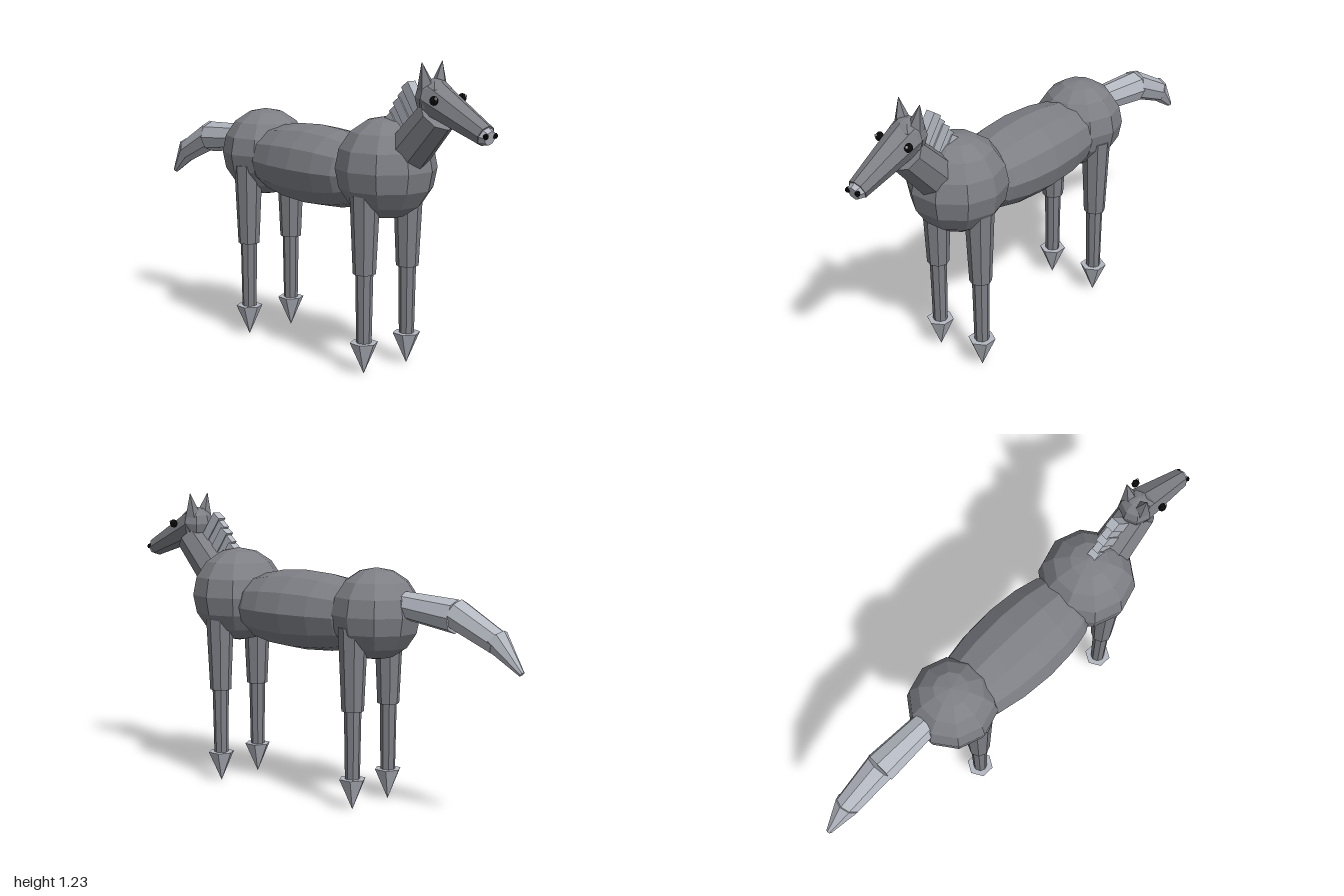
import * as THREE from 'three';

const paint = (name, color) => {
  const m = new THREE.MeshStandardMaterial({ color, flatShading: true });
  m.name = name;
  return m;
};

export function createModel() {
  const coat = paint('grey coat', 0x7d7f85);
  const hair = paint('pale grey hair', 0xb4b8c1);
  const black = paint('black', 0x0c0c0c);
  const white = paint('white', 0xf4f4f4);
  const group = new THREE.Group();
  group.name = 'horse';

  const add = (name, geometry, material, x = 0, y = 0, z = 0) => {
    const mesh = new THREE.Mesh(geometry, material);
    mesh.name = name;
    mesh.position.set(x, y, z);
    group.add(mesh);
    return mesh;
  };
  const ball = (name, r, material, x, y, z, w = 10, h = 8) =>
    add(name, new THREE.SphereGeometry(r, w, h), material, x, y, z);

  // Tapered tube from point a (radius ra) to point b (radius rb)
  const UP = new THREE.Vector3(0, 1, 0);
  const limb = (name, a, ra, b, rb, material, sides = 8, widen = 1) => {
    const from = new THREE.Vector3(...a);
    const dir = new THREE.Vector3(...b).sub(from);
    const length = dir.length();
    const geometry = new THREE.CylinderGeometry(rb, ra, length, sides);
    geometry.scale(widen, 1, 1);
    const mesh = add(name, geometry, material);
    mesh.quaternion.setFromUnitVectors(UP, dir.clone().normalize());
    mesh.position.copy(from).addScaledVector(dir, 0.5);
    return mesh;
  };

  // Body: chest, barrel and rump
  ball('chest', 0.2, coat, 0, 0.808, 0.448);
  ball('rump', 0.184, coat, 0, 0.785, -0.307);
  const profile = [[0, -0.3], [0.1, -0.28], [0.138, -0.2], [0.158, -0.08], [0.166, 0.06],
    [0.158, 0.19], [0.138, 0.29], [0.1, 0.36], [0, 0.38]];
  const barrel = new THREE.LatheGeometry(profile.map(([r, y]) => new THREE.Vector2(r, y)), 12);
  barrel.rotateX(Math.PI / 2);
  barrel.scale(1.12, 1, 1);
  add('barrel', barrel, coat, 0, 0.77, 0);

  // Legs with pointed hooves
  for (const side of [-1, 1]) {
    for (const [label, z] of [['front', 0.453], ['back', -0.282]]) {
      const x = side * 0.114;
      limb(label + 'UpperLeg', [x, 0.405, z], 0.045, [x, 0.74, z], 0.06, coat);
      limb(label + 'LowerLeg', [x, 0.12, z], 0.03, [x, 0.42, z], 0.035, coat);
      const hoof = new THREE.ConeGeometry(0.056, 0.126, 6);
      hoof.rotateX(Math.PI);
      add(label + 'Hoof', hoof, hair, x, 0.068, z);
    }
  }

  // Neck and head
  limb('neck', [0, 0.8, 0.49], 0.092, [0, 1.04, 0.725], 0.076, coat);
  ball('skull', 0.073, coat, 0, 1.1, 0.705, 8, 6);
  limb('face', [0, 1.1, 0.7], 0.073, [0, 0.986, 0.965], 0.041, coat);
  limb('nose', [0, 0.988, 0.955], 0.041, [0, 0.979, 0.987], 0.027, hair);

  for (const side of [-1, 1]) {
    limb('ear', [side * 0.032, 1.135, 0.695], 0.036, [side * 0.053, 1.232, 0.69], 0.001, coat, 5);
    ball('eye', 0.018, black, side * 0.073, 1.1, 0.775, 8, 6).scale.x = 0.8;
    ball('eyeGlint', 0.006, white, side * 0.077, 1.108, 0.789, 6, 4);
    ball('nostril', 0.011, black, side * 0.024, 0.987, 0.988, 7, 5);
  }

  // Mane: stepped tufts down the back of the neck
  for (let i = 0; i < 5; i++) {
    const t = i / 4;
    const tuft = add('maneTuft', new THREE.BoxGeometry(i % 2 ? 0.03 : 0.04, 0.13 - 0.03 * t, 0.042),
      hair, 0, 1.087 - 0.112 * t, 0.602 - 0.1 * t);
    tuft.rotation.x = -0.62 - 0.08 * (i % 2);
  }

  // Tail: three overlapping segments
  limb('tailBase', [0, 0.83, -0.45], 0.055, [0, 0.805, -0.695], 0.067, hair);
  limb('tailMiddle', [0, 0.817, -0.69], 0.063, [0, 0.722, -0.885], 0.05, hair);
  limb('tailTip', [0, 0.735, -0.872], 0.053, [0, 0.617, -0.99], 0.012, hair);

  return group;
}
